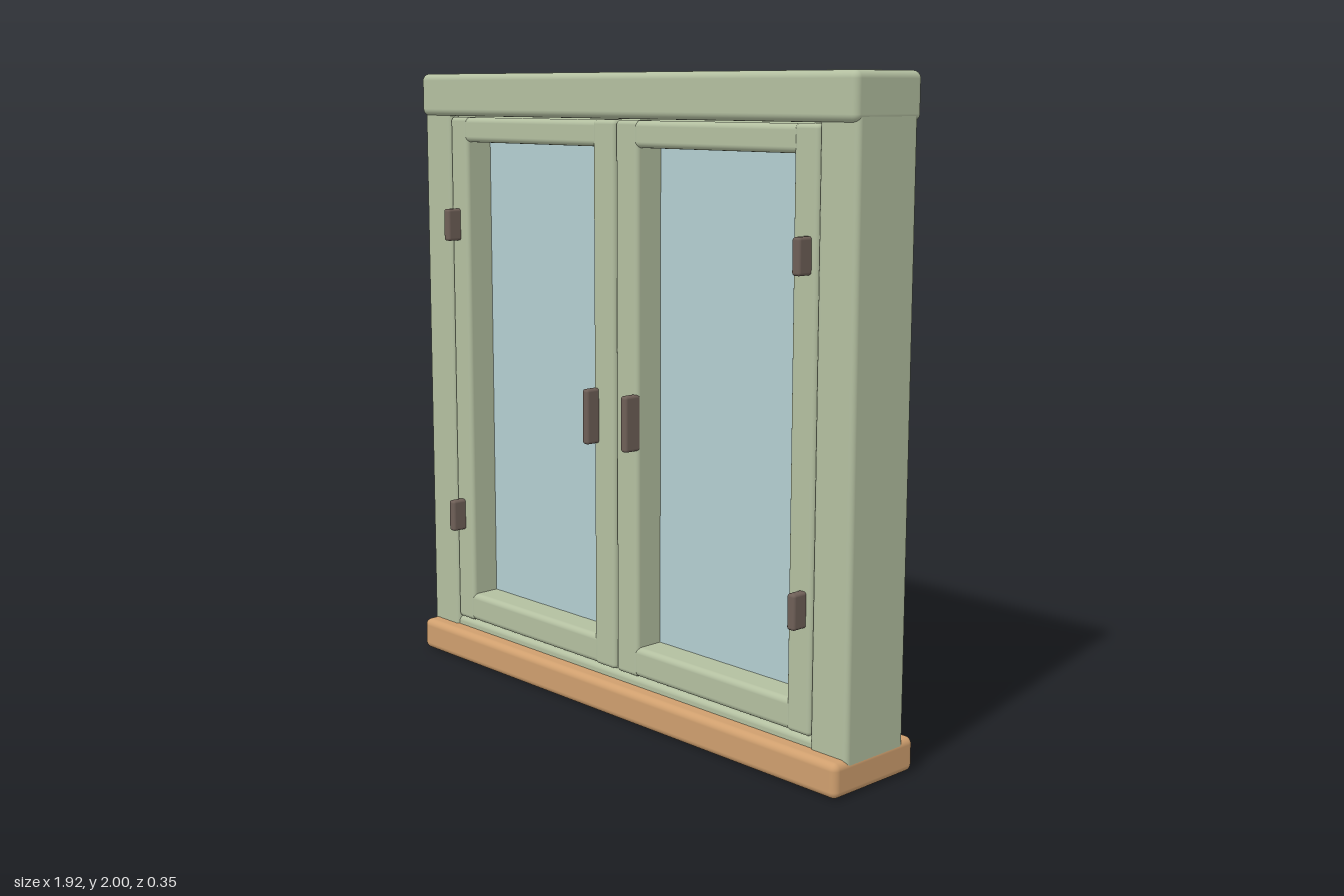
import * as THREE from 'three';
import { RoundedBoxGeometry } from 'three/addons/geometries/RoundedBoxGeometry.js';

const material = (name, color) => {
  const m = new THREE.MeshStandardMaterial({ color });
  m.name = name;
  return m;
};

export function createModel() {
  const green = material('sage paint', 0xb3bfa0);
  const wood = material('sill wood', 0xcf9f6e);
  const glass = material('glass', 0xb3cfd1);
  const metal = material('dark metal', 0x6e5f57);

  // Rounded block given by its min and max along each axis
  const block = (parent, name, mat, [x0, x1], [y0, y1], [z0, z1], radius) => {
    const geo = radius
      ? new RoundedBoxGeometry(x1 - x0, y1 - y0, z1 - z0, 4, radius)
      : new THREE.BoxGeometry(x1 - x0, y1 - y0, z1 - z0);
    const mesh = new THREE.Mesh(geo, mat);
    mesh.name = name;
    mesh.position.set((x0 + x1) / 2, (y0 + y1) / 2, (z0 + z1) / 2);
    parent.add(mesh);
  };

  // Span from a to b on the +x side, flipped for the -x side
  const span = (side, a, b) => (side > 0 ? [a, b] : [-b, -a]);

  const model = new THREE.Group();
  model.name = 'window';

  // Outer frame
  const frame = new THREE.Group();
  frame.name = 'frame';
  model.add(frame);
  block(frame, 'sill', wood, [-0.96, 0.96], [0, 0.105], [-0.173, 0.173], 0.022);
  block(frame, 'header', green, [-0.96, 0.96], [1.862, 2], [-0.14, 0.14], 0.022);
  block(frame, 'bottomRail', green, [-0.84, 0.84], [0.06, 0.132], [-0.118, 0.118], 0.016);

  for (const side of [1, -1]) {
    block(frame, side > 0 ? 'leftPost' : 'rightPost', green,
      span(side, 0.82, 0.959), [0.07, 1.93], [-0.125, 0.125], 0.016);

    // Hinged sash: stiles, rails and pane
    const sash = new THREE.Group();
    sash.name = side > 0 ? 'leftSash' : 'rightSash';
    model.add(sash);
    const depth = [-0.075, 0.125];
    block(sash, 'outerStile', green, span(side, 0.729, 0.819), [0.136, 1.859], depth, 0.014);
    block(sash, 'innerStile', green, span(side, 0.003, 0.101), [0.136, 1.859], depth, 0.014);
    block(sash, 'topRail', green, span(side, 0.08, 0.75), [1.777, 1.858], [-0.074, 0.124], 0.018);
    block(sash, 'lowerRail', green, span(side, 0.08, 0.75), [0.137, 0.231], [-0.074, 0.124], 0.018);
    block(sash, 'pane', glass, span(side, 0.09, 0.74), [0.22, 1.79], [-0.023, 0.027]);

    // Hinges and handle
    for (const y of [0.507, 1.503]) {
      block(sash, 'hinge', metal, span(side, 0.77, 0.8), [y - 0.053, y + 0.053], [0.11, 0.174], 0.009);
    }
    block(sash, 'handle', metal, span(side, 0.075, 0.102), [0.858, 1.032], [0.11, 0.172], 0.009);
  }
  return model;
}
